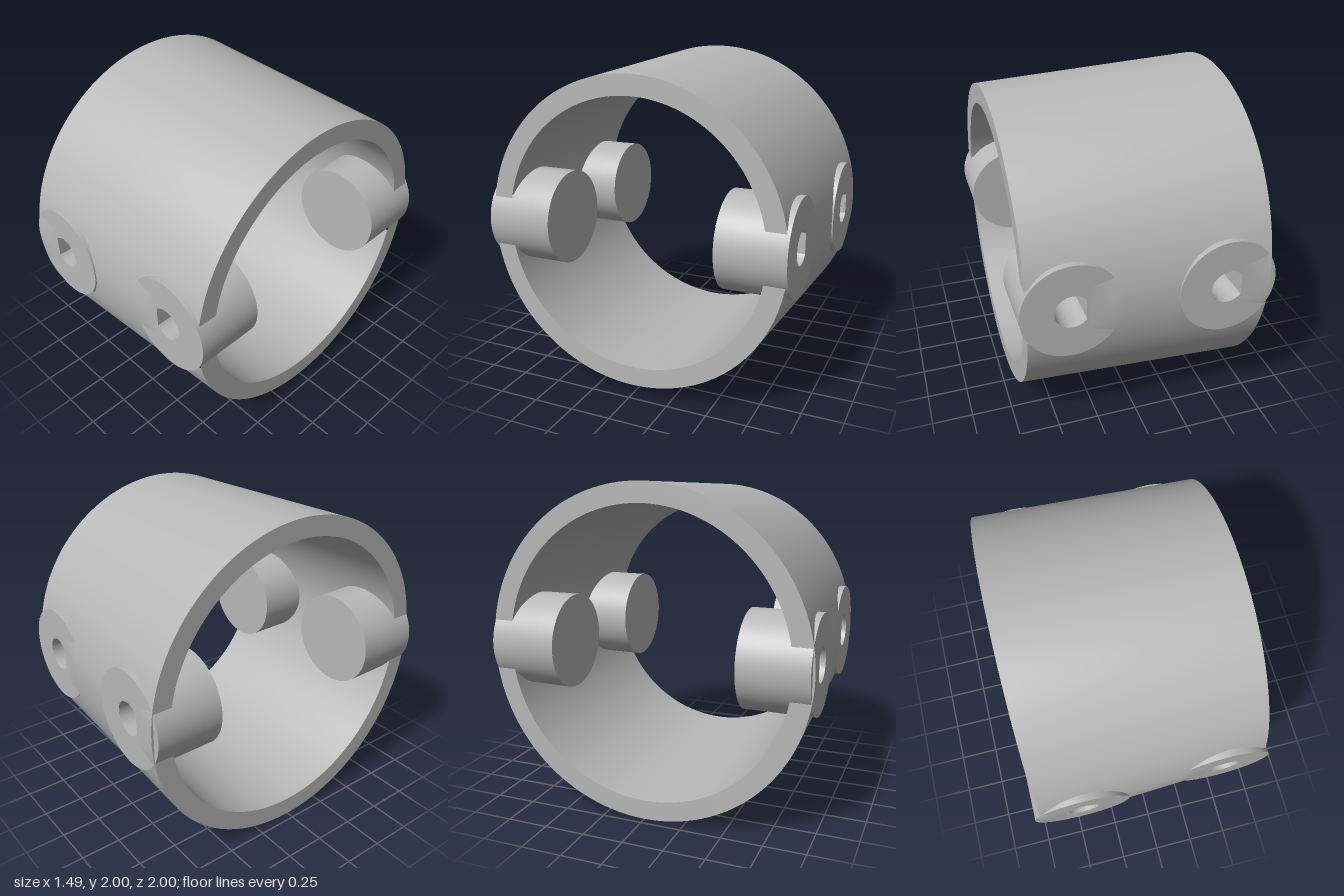
import * as THREE from 'three';
import { toCreasedNormals } from 'three/addons/utils/BufferGeometryUtils.js';

const HALF = 0.7, THICK = 0.12, PLUG_R = 0.293, PLUG_LEN = 0.416, HOLE_DEPTH = 0.3;
const PLUGS = [{ x: -0.45, z: 0.983 }, { x: 0.45, z: 0.943 }];
const outerRadius = (x) => 0.968 - 0.0425 * x;

// One tapered wall of the sleeve, opened where the plugs pass through
function wallGeometry(inset, inward) {
  const nx = 56, na = 240, pos = [], index = [];
  for (let i = 0; i <= nx; i++) {
    for (let j = 0; j < na; j++) {
      let x = -HALF + (2 * HALF * i) / nx;
      const a = (j / na) * Math.PI * 2;
      let r = outerRadius(x) - inset;
      let y = r * Math.sin(a), z = r * Math.cos(a);
      for (const p of PLUGS) {
        const d = Math.hypot(x - p.x, y);
        if (Math.abs(z) < 0.5 || d > PLUG_R + 0.014) continue;
        const side = Math.sign(z);
        // snap vertices near the opening onto its rim
        if (d > PLUG_R - 0.014 && i > 0 && i < nx) {
          const k = (PLUG_R - 0.001) / d;
          x = p.x + (x - p.x) * k;
          y *= k;
          r = outerRadius(x) - inset;
          z = side * Math.sqrt(r * r - y * y);
        } else if (Math.abs(z) > p.z) {
          // the proud strip slopes down to the plug face
          const t = THREE.MathUtils.clamp((p.x - 0.1 - x) / 0.15, 0, 1);
          z = side * (p.z + (Math.abs(z) - p.z) * t);
        }
      }
      pos.push(x, 1 + y, z);
    }
  }
  const isOpen = (ids) => {
    const mid = (k) => ids.reduce((s, v) => s + pos[v * 3 + k], 0) / 4;
    const x = mid(0), y = mid(1) - 1, z = mid(2);
    return Math.abs(z) > 0.5 && PLUGS.some((p) =>
      Math.hypot(x - p.x, y) < PLUG_R - 0.004 && (inward || x > p.x - 0.11));
  };
  for (let i = 0; i < nx; i++) {
    for (let j = 0; j < na; j++) {
      const k = (j + 1) % na;
      const a = i * na + j, b = a + na, c = (i + 1) * na + k, d = i * na + k;
      if (isOpen([a, b, c, d])) continue;
      if (inward) index.push(a, c, b, a, d, c);
      else index.push(a, b, c, a, c, d);
    }
  }
  const g = new THREE.BufferGeometry();
  g.setAttribute('position', new THREE.Float32BufferAttribute(pos, 3));
  g.setIndex(index);
  g.computeVertexNormals();
  return g;
}

// Round plug along z with a keyed blind hole in its outer face (at z = 0)
function createPlug(material) {
  const plug = new THREE.Group();
  const disc = new THREE.Shape().absarc(0, 0, PLUG_R, 0, Math.PI * 2);
  const hole = new THREE.Path();
  hole.moveTo(-0.012, 0);
  hole.absarc(0, 0, 0.102, 2.47, -2.47, true);
  hole.closePath();
  disc.holes.push(hole);
  const shell = new THREE.ExtrudeGeometry(disc, { depth: HOLE_DEPTH, bevelEnabled: false, curveSegments: 48 });
  const head = new THREE.Mesh(toCreasedNormals(shell, 0.5), material);
  head.name = 'keyedHead';
  head.position.z = -HOLE_DEPTH;

  const len = PLUG_LEN - HOLE_DEPTH;
  const base = new THREE.Mesh(new THREE.CylinderGeometry(PLUG_R, PLUG_R, len, 96), material);
  base.name = 'plugBase';
  base.rotation.x = Math.PI / 2;
  base.position.z = -HOLE_DEPTH - len / 2;
  plug.add(head, base);
  return plug;
}

export function createModel() {
  const model = new THREE.Group();
  model.name = 'taperedSleeve';
  const grey = new THREE.MeshStandardMaterial({ color: 0xb8b8b8 });
  grey.name = 'plainGrey';

  // Sleeve walls
  const outer = new THREE.Mesh(wallGeometry(0, false), grey);
  outer.name = 'outerWall';
  const inner = new THREE.Mesh(wallGeometry(THICK, true), grey);
  inner.name = 'innerWall';
  model.add(outer, inner);

  // Flat end rims
  for (const s of [-1, 1]) {
    const r = outerRadius(s * HALF);
    const rim = new THREE.Mesh(new THREE.RingGeometry(r - THICK, r, 240), grey);
    rim.name = s > 0 ? 'narrowRim' : 'wideRim';
    rim.rotation.y = (s * Math.PI) / 2;
    rim.position.set(s * HALF, 1, 0);
    model.add(rim);
  }

  // Four plugs, two on each side
  for (const p of PLUGS) {
    for (const s of [1, -1]) {
      const plug = createPlug(grey);
      plug.name = (s > 0 ? 'front' : 'back') + (p.x > 0 ? 'LeftPlug' : 'RightPlug');
      plug.position.set(p.x, 1, s * p.z);
      if (s < 0) plug.rotation.x = Math.PI;
      model.add(plug);
    }
  }
  return model;
}
